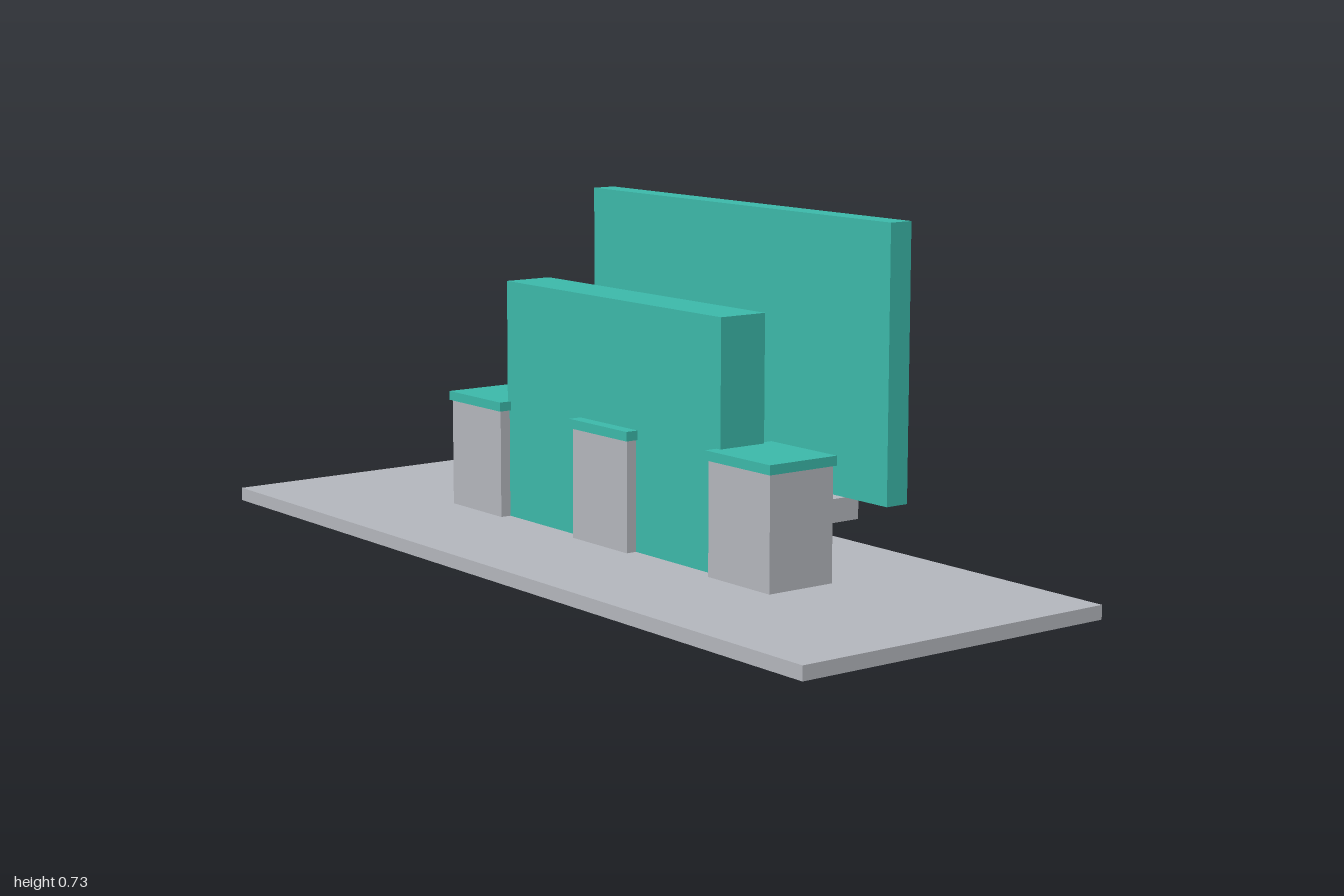
import * as THREE from 'three';

export function createModel() {
  const model = new THREE.Group();
  const grey = new THREE.MeshStandardMaterial({ name: 'grey', color: 0xb4b7bd });
  const teal = new THREE.MeshStandardMaterial({ name: 'teal', color: 0x3cb9aa });

  // Box given by its centre x, width, and its y and z ranges
  function box(name, material, x, width, [y0, y1], [z0, z1]) {
    const mesh = new THREE.Mesh(new THREE.BoxGeometry(width, y1 - y0, z1 - z0), material);
    mesh.name = name;
    mesh.position.set(x, (y0 + y1) / 2, (z0 + z1) / 2);
    model.add(mesh);
  }

  // Base slab, a hair above the foot of the wall that passes through it
  box('base', grey, 0, 2, [0.001, 0.03], [-0.374, 0.374]);

  // Central wall, showing through the underside of the base
  box('centralWall', teal, 0, 0.744, [0, 0.55], [-0.056, 0.056]);

  // Three pillars with overhanging caps
  for (const [side, x] of [['right', -0.46], ['middle', 0], ['left', 0.46]]) {
    box(side + 'Pillar', grey, x, 0.19, [0.03, 0.266], [-0.08, 0.08]);
    box(side + 'PillarCap', teal, x, 0.2, [0.266, 0.286], [-0.085, 0.085]);
  }

  // Rear ledge and the tall panel standing on it
  box('rearLedge', grey, 0, 0.744, [0.1, 0.15], [-0.31, -0.199]);
  box('rearPanel', teal, 0, 1, [0.15, 0.727], [-0.328, -0.273]);

  return model;
}
